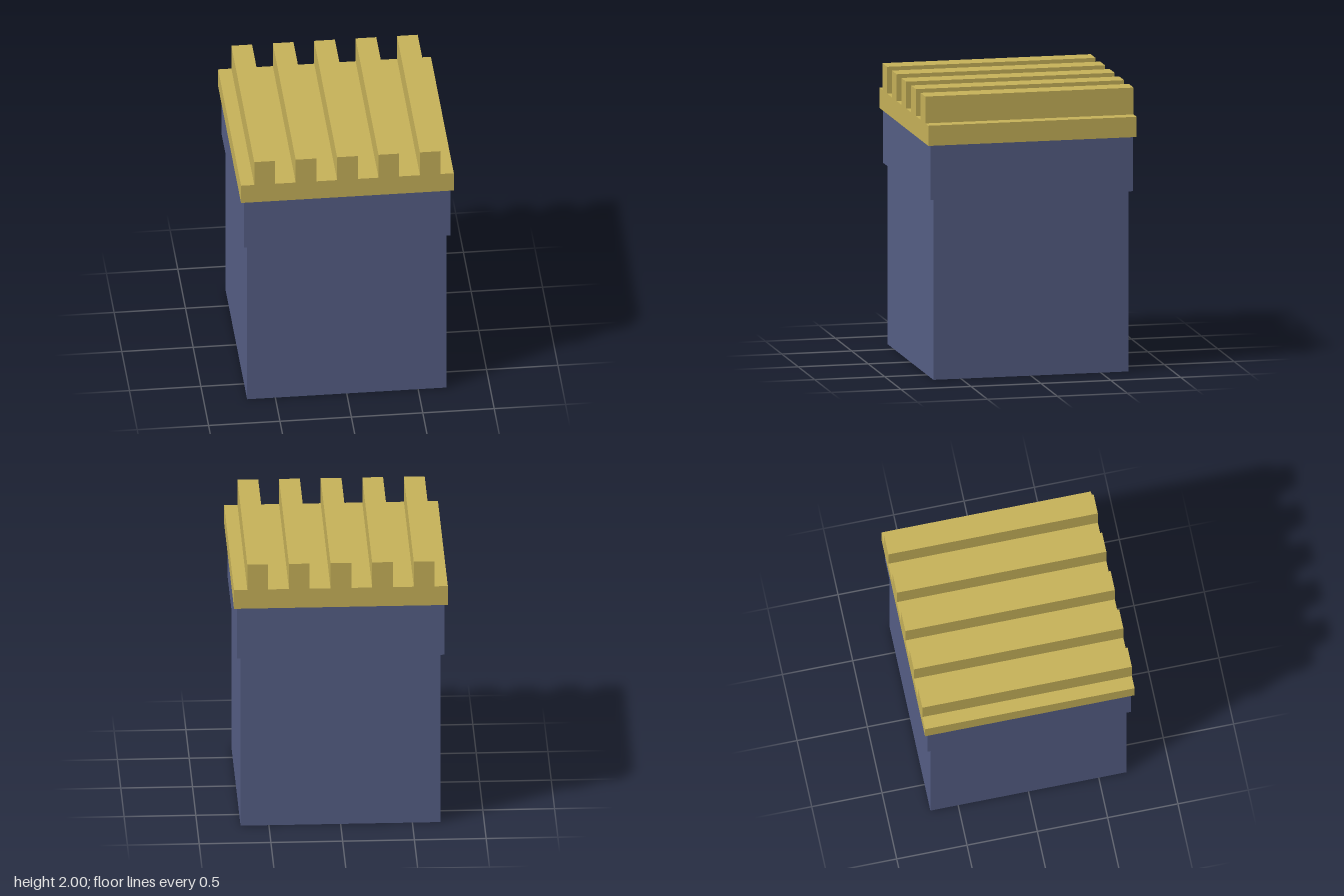
import * as THREE from 'three';

const blue = new THREE.MeshStandardMaterial({ name: 'slate blue', color: 0x565f86 });
const gold = new THREE.MeshStandardMaterial({ name: 'dull gold', color: 0xc8b35a });

// Square block standing between two heights
function block(name, width, bottom, top, material) {
  const mesh = new THREE.Mesh(new THREE.BoxGeometry(width, top - bottom, width), material);
  mesh.name = name;
  mesh.position.y = (bottom + top) / 2;
  return mesh;
}

// Slab and ridges as one comb-shaped profile, extruded front to back
function ridgedCap(width, bottom, slabTop, ridgeTop) {
  const half = width / 2, pitch = 0.29, ridgeHalf = 0.0725;
  const shape = new THREE.Shape();
  shape.moveTo(-half, bottom);
  shape.lineTo(half, bottom);
  shape.lineTo(half, slabTop);
  for (let i = 2; i >= -2; i--) {
    const x = i * pitch;
    shape.lineTo(x + ridgeHalf, slabTop);
    shape.lineTo(x + ridgeHalf, ridgeTop);
    shape.lineTo(x - ridgeHalf, ridgeTop);
    shape.lineTo(x - ridgeHalf, slabTop);
  }
  shape.lineTo(-half, slabTop);
  shape.closePath();
  const geometry = new THREE.ExtrudeGeometry(shape, { depth: width, bevelEnabled: false });
  geometry.translate(0, 0, -half);
  const mesh = new THREE.Mesh(geometry, gold);
  mesh.name = 'ridgedCap';
  return mesh;
}

export function createModel() {
  const group = new THREE.Group();
  group.name = 'ridgedBlock';
  group.add(
    block('body', 1.395, 0, 1.28, blue),
    block('collar', 1.445, 1.28, 1.667, blue),
    ridgedCap(1.49, 1.667, 1.81, 2),
  );
  return group;
}
